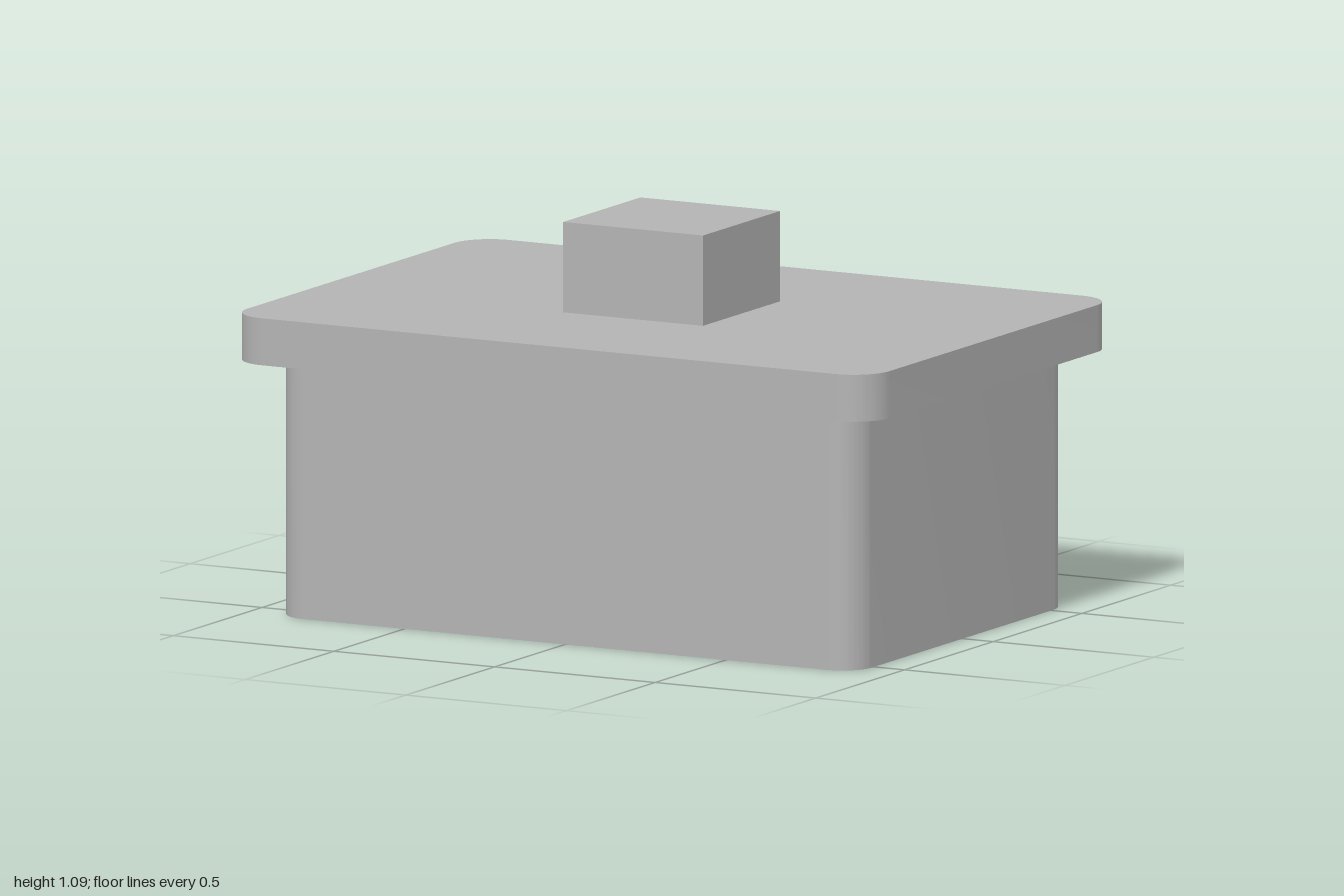
import * as THREE from 'three';
import { toCreasedNormals } from 'three/addons/utils/BufferGeometryUtils.js';

// Upright slab with a rounded-rectangle footprint, standing on its local y = 0
function roundedSlab(width, depth, height, radius) {
  const x = width / 2, y = depth / 2, r = radius;
  const shape = new THREE.Shape();
  shape.moveTo(x, y - r);
  shape.absarc(x - r, y - r, r, 0, Math.PI / 2);
  shape.absarc(-x + r, y - r, r, Math.PI / 2, Math.PI);
  shape.absarc(-x + r, -y + r, r, Math.PI, Math.PI * 1.5);
  shape.absarc(x - r, -y + r, r, Math.PI * 1.5, Math.PI * 2);
  const geometry = new THREE.ExtrudeGeometry(shape, { depth: height, bevelEnabled: false, curveSegments: 16 });
  geometry.rotateX(-Math.PI / 2);
  return toCreasedNormals(geometry, Math.PI / 6);
}

export function createModel() {
  const grey = new THREE.MeshStandardMaterial({ color: 0xb3b3b3 });
  grey.name = 'plain grey';

  const group = new THREE.Group();
  group.name = 'lidded box';
  const add = (name, geometry, x, y, z) => {
    const mesh = new THREE.Mesh(geometry, grey);
    mesh.name = name;
    mesh.position.set(x, y, z);
    group.add(mesh);
  };

  // Box body with rounded upright corners
  add('body', roundedSlab(1.81, 1.205, 0.71, 0.09), 0, 0, 0);
  // Overhanging lid
  add('lid', roundedSlab(2, 1.39, 0.13, 0.11), 0, 0.71, 0);
  // Square handle block on the lid
  add('handle', new THREE.BoxGeometry(0.435, 0.25, 0.435), -0.002, 0.965, -0.002);

  return group;
}
